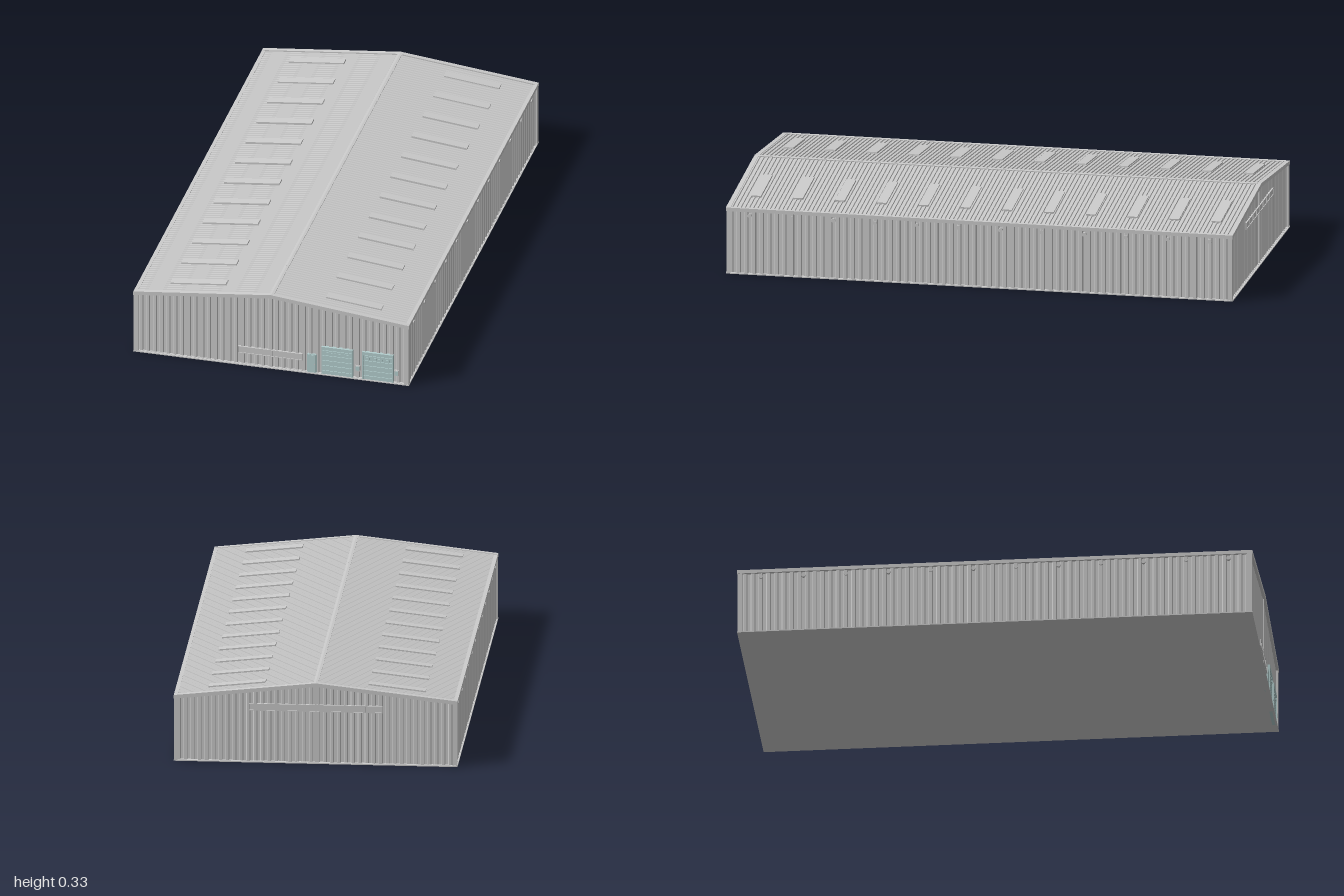
import * as THREE from 'three';

const W = 0.55, L = 1, EAVE = 0.265, RIDGE = 0.325;
const roofY = x => RIDGE - (RIDGE - EAVE) * Math.abs(x) / W;
const SLOPE = Math.atan((RIDGE - EAVE) / W);

const grey = new THREE.MeshStandardMaterial({ color: 0xcccccc, flatShading: true });
const sheetMat = new THREE.MeshStandardMaterial({ color: 0xcccccc, flatShading: true, side: THREE.DoubleSide });
const pale = new THREE.MeshStandardMaterial({ color: 0xb4cfcf });

function add(parent, name, geometry, material = grey) {
  const mesh = new THREE.Mesh(geometry, material);
  mesh.name = name;
  parent.add(mesh);
  return mesh;
}

// Box given by its extents
function box(parent, name, x0, x1, y0, y1, z0, z1, material) {
  const mesh = add(parent, name, new THREE.BoxGeometry(x1 - x0, y1 - y0, z1 - z0), material);
  mesh.position.set((x0 + x1) / 2, (y0 + y1) / 2, (z0 + z1) / 2);
  return mesh;
}

// Trapezoidal rib profile as [distance, depth] pairs from -half to half
function ribs(half, count, depth) {
  const pitch = 2 * half / count, points = [];
  for (let i = 0; i < count; i++) {
    const s = -half + i * pitch;
    points.push([s, 0], [s + pitch * 0.4, 0], [s + pitch * 0.5, depth], [s + pitch * 0.9, depth]);
  }
  points.push([half, 0]);
  return points;
}

// Sheet spanned between two edges that both follow a rib profile
function ribbedSheet(profile, edgeA, edgeB) {
  const pos = [];
  for (let i = 0; i < profile.length - 1; i++) {
    const a = edgeA(...profile[i]), b = edgeA(...profile[i + 1]);
    const c = edgeB(...profile[i + 1]), d = edgeB(...profile[i]);
    pos.push(...a, ...b, ...c, ...a, ...c, ...d);
  }
  const g = new THREE.BufferGeometry();
  g.setAttribute('position', new THREE.Float32BufferAttribute(pos, 3));
  g.computeVertexNormals();
  return g;
}

// Sectional door with ribbed panels and a row of small windows
function gate(parent, x0, x1) {
  const g = new THREE.Group(), h = 0.124, z = 0.992;
  g.name = 'gate';
  parent.add(g);
  box(g, 'gateBacking', x0, x1, 0, h, z - 0.012, z, pale);
  for (const x of [x0, x1 - 0.004]) box(g, 'gateJamb', x, x + 0.004, 0, h, z, z + 0.006, pale);
  box(g, 'gateHeader', x0, x1, h - 0.012, h, z, z + 0.006, pale);
  const panels = 5, step = (h - 0.014) / panels;
  for (let i = 0; i < panels; i++) {
    const y = i * step + 0.001;
    box(g, 'gatePanel', x0 + 0.004, x1 - 0.004, y, y + step - 0.004, z, z + 0.003, pale);
  }
  for (let i = 0; i < 4; i++) {
    const x = x0 + 0.012 + i * (x1 - x0 - 0.02) / 4;
    box(g, 'gateWindow', x, x + 0.018, 0.092, 0.1, z + 0.003, z + 0.005, pale);
  }
}

// Strip of framed windows on a gable wall; dir is +1 at the front, -1 at the back
function windowStrip(parent, name, x0, x1, y0, y1, count, dir) {
  const g = new THREE.Group();
  g.name = name;
  parent.add(g);
  const bar = (n, a, b, c, d, out) => {
    const z = [dir * 0.98, dir * out].sort((p, q) => p - q);
    box(g, n, a, b, c, d, z[0], z[1]);
  };
  const t = 0.0025, step = (x1 - x0) / count;
  bar('windowPane', x0, x1, y0, y1, 0.992);
  bar('windowSill', x0, x1, y0, y0 + t, 0.995);
  bar('windowHead', x0, x1, y1 - t, y1, 0.995);
  for (let i = 0; i <= count; i++) {
    const x = x0 + i * step;
    bar('windowMullion', x - t / 2, x + t / 2, y0, y1, 0.995);
  }
}

export function createModel() {
  const model = new THREE.Group();
  model.name = 'warehouse';

  // Floor slab
  box(model, 'floor', -W, W, 0, 0.004, -L, L);

  for (const s of [-1, 1]) {
    // Gable wall and its trims
    const gableProfile = ribs(0.54, 40, 0.005);
    add(model, 'gableWall', ribbedSheet(gableProfile,
      (t, d) => [t, 0, s * (0.985 + d)],
      (t, d) => [t, roofY(t) - 0.004, s * (0.985 + d)]), sheetMat);
    const zs = s > 0 ? [0.984, 0.993] : [-0.993, -0.984];
    box(model, 'gableSeam', -0.003, 0.003, 0, RIDGE - 0.01, ...zs);
    box(model, 'gableSkirt', -W, W, 0, 0.005, ...zs);

    const chevron = new THREE.Shape([[-W, EAVE - 0.015], [0, RIDGE - 0.015], [W, EAVE - 0.015],
      [W, EAVE], [0, RIDGE], [-W, EAVE]].map(p => new THREE.Vector2(...p)));
    const fascia = add(model, 'gableFascia',
      new THREE.ExtrudeGeometry(chevron, { depth: 0.018, bevelEnabled: false }));
    fascia.position.z = s > 0 ? L - 0.018 : -L;

    // Long side wall and its trims
    add(model, 'sideWall', ribbedSheet(ribs(0.99, 66, 0.006),
      (t, d) => [s * (0.538 + d), 0, t],
      (t, d) => [s * (0.538 + d), EAVE - 0.002, t]), sheetMat);
    const xs = s > 0 ? [0.535, W] : [-W, -0.535];
    box(model, 'eaveTrim', ...xs, EAVE - 0.014, EAVE, -L, L);
    const skirtX = s > 0 ? [0.535, 0.546] : [-0.546, -0.535];
    box(model, 'sideSkirt', ...skirtX, 0, 0.005, -L, L);

    // Corner posts
    for (const e of [-1, 1]) {
      const cx = s > 0 ? [0.53, 0.549] : [-0.549, -0.53];
      const cz = e > 0 ? [0.98, 0.998] : [-0.998, -0.98];
      box(model, 'cornerPost', ...cx, 0, EAVE - 0.005, ...cz);
    }

    // Ribbed roof slope
    add(model, 'roofSlope', ribbedSheet(ribs(0.985, 120, 0.004),
      (t, d) => [0, RIDGE - 0.006 + d, t],
      (t, d) => [s * 0.542, roofY(0.542) - 0.006 + d, t]), sheetMat);

    // Ridge cap half
    const cap = add(model, 'ridgeCap', new THREE.BoxGeometry(0.009, 0.004, 2 * L));
    cap.position.set(s * 0.0042, RIDGE - 0.0022, 0);
    cap.rotation.z = -s * SLOPE;

    // Skylights and the wall lamps in line with them
    for (let i = 0; i < 12; i++) {
      const z = -0.908 + i * 0.165;
      const light = add(model, 'skylight', new THREE.BoxGeometry(0.222, 0.008, 0.038));
      light.position.set(s * 0.31, roofY(0.31) - 0.001, z);
      light.rotation.z = -s * SLOPE;
      const lamp = add(model, 'wallLamp', new THREE.CylinderGeometry(0.008, 0.008, 0.012, 12));
      lamp.rotation.z = Math.PI / 2;
      lamp.position.set(s * 0.543, 0.235, z);
    }
  }

  // Front openings
  windowStrip(model, 'frontWindows', -0.132, 0.122, 0.05, 0.079, 8, 1);
  gate(model, 0.2, 0.325);
  gate(model, 0.363, 0.487);
  box(model, 'door', 0.143, 0.18, 0, 0.083, 0.98, 0.994, pale);
  box(model, 'doorLeaf', 0.146, 0.177, 0.002, 0.08, 0.994, 0.996, pale);
  box(model, 'doorHandle', 0.172, 0.175, 0.04, 0.044, 0.996, 0.999);
  for (const x of [0.344, 0.499]) {
    box(model, 'controlBox', x - 0.009, x + 0.009, 0.035, 0.058, 0.985, 0.995, grey);
    box(model, 'controlCover', x - 0.007, x + 0.007, 0.038, 0.055, 0.995, 0.998, pale);
  }

  // High strip on the rear gable
  windowStrip(model, 'rearWindows', -0.257, 0.257, 0.208, 0.236, 8, -1);

  return model;
}
